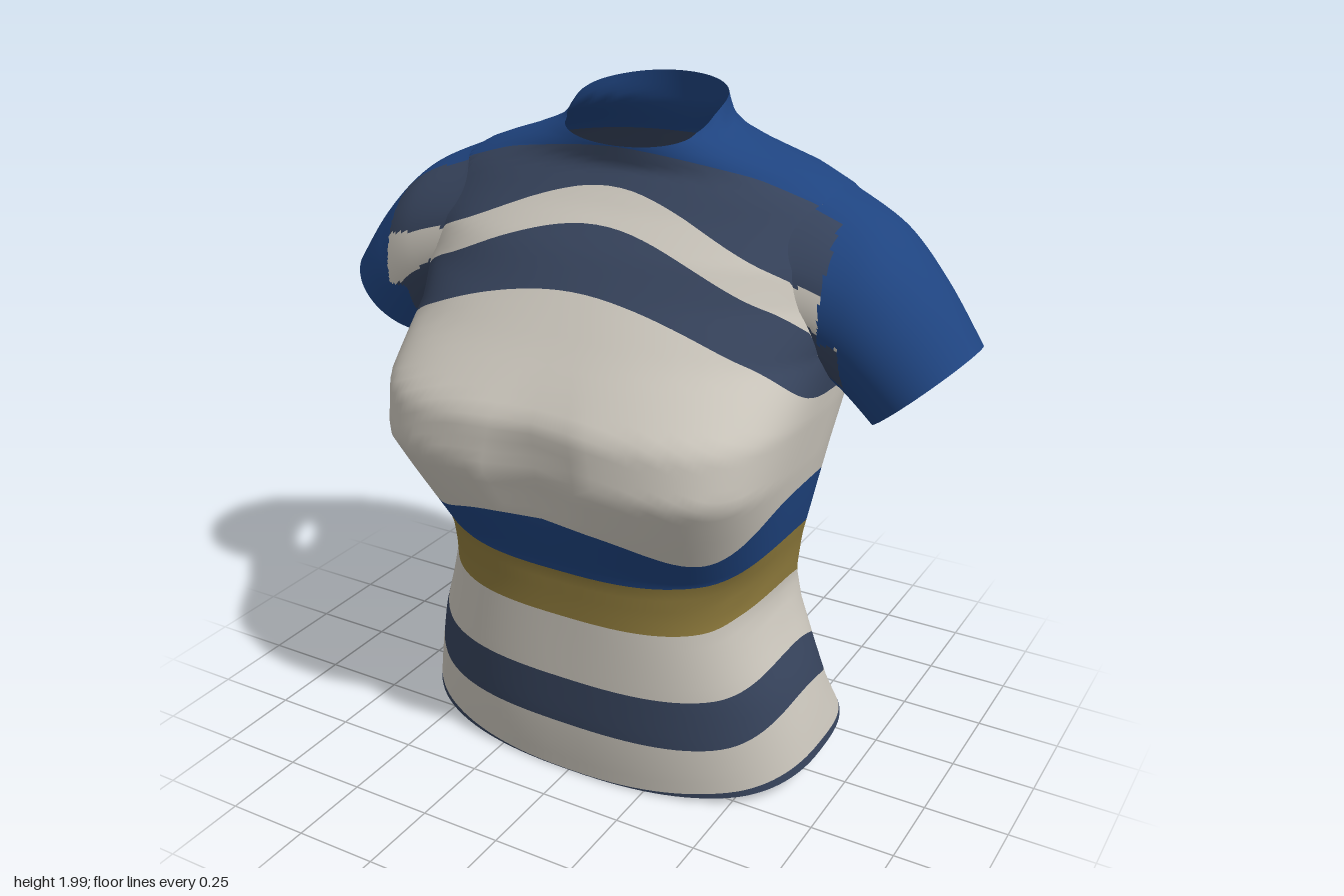
import * as THREE from 'three';

const material = (name, color) => {
  const m = new THREE.MeshStandardMaterial({ color, side: THREE.DoubleSide });
  m.name = name;
  return m;
};
const cream = material('cream', 0xcdc8be);
const blue = material('blue', 0x1f4480);
const slate = material('slate', 0x37445d);
const gold = material('gold', 0x8f7b3c);

// Body profile by height: y, half width, front z, back z, z of widest point, front and back squareness
const PROFILE = [
  [0, 0.67, 0.36, -0.58, -0.02, 2.4, 2.6],
  [0.1, 0.655, 0.375, -0.505, -0.02, 2.4, 2.5],
  [0.2, 0.635, 0.385, -0.445, -0.01, 2.4, 2.4],
  [0.35, 0.6, 0.388, -0.375, 0, 2.5, 2.4],
  [0.5, 0.55, 0.39, -0.35, 0, 2.6, 2.4],
  [0.6, 0.525, 0.392, -0.36, 0, 2.6, 2.4],
  [0.72, 0.535, 0.4, -0.38, 0, 2.7, 2.4],
  [0.9, 0.575, 0.49, -0.42, 0.02, 3.3, 2.4],
  [1.05, 0.605, 0.55, -0.465, 0.02, 4.2, 2.4],
  [1.2, 0.63, 0.54, -0.51, -0.02, 3.6, 2.4],
  [1.37, 0.65, 0.405, -0.545, -0.1, 2.6, 2.4],
  [1.5, 0.7, 0.31, -0.55, -0.14, 2.1, 2.4],
  [1.6, 0.7, 0.235, -0.54, -0.14, 2.1, 2.4],
  [1.7, 0.65, 0.14, -0.5, -0.14, 2.1, 2.3],
  [1.75, 0.61, 0.1, -0.465, -0.14, 2.1, 2.2],
  [1.8, 0.52, 0.065, -0.43, -0.14, 2, 2.1],
  [1.86, 0.345, 0.07, -0.38, -0.13, 2, 2],
  [1.9, 0.255, 0.07, -0.355, -0.13, 2, 2],
  [1.94, 0.23, 0.07, -0.345, -0.13, 2, 2],
  [2, 0.215, 0.07, -0.33, -0.13, 2, 2],
];

// Heights of band edges at front, front quarter, side, back quarter and back,
// each with the colour, name and row count of the band below it
const BANDS = [
  [[1.86, 1.89, 1.96, 1.99, 2.0], blue, 'collarAndYoke', 10],
  [[1.857, 1.81, 1.68, 1.78, 1.8], slate, 'yokeStripe', 8],
  [[1.755, 1.595, 1.46, 1.61, 1.64], cream, 'upperChestStripe', 5],
  [[1.665, 1.51, 1.38, 1.49, 1.49], slate, 'chestStripe', 6],
  [[1.51, 1.385, 1.25, 1.28, 1.28], cream, 'chest', 18],
  [[0.905, 0.825, 0.98, 0.84, 0.74], blue, 'ribStripe', 5],
  [[0.71, 0.73, 0.81, 0.68, 0.58], gold, 'waistStripe', 4],
  [[0.56, 0.57, 0.64, 0.51, 0.43], cream, 'waist', 5],
  [[0.35, 0.36, 0.44, 0.31, 0.24], slate, 'hipStripe', 4],
  [[0.19, 0.2, 0.3, 0.17, 0.11], cream, 'hem', 4],
  [[0.01, 0.048, 0.105, 0.04, 0.018], slate, 'hemSideTrim', 1],
  [[0.008, 0.029, 0.078, 0.039, 0.017], slate, 'hemEdge', 0],
];

// Round armhole on the side of the body, seen from the side
const ARMHOLE = { y: 1.5, z: -0.15, radius: 0.27 };

// Sleeve rings beyond the armhole: top x, top y, bottom x, bottom y, front z, back z
const SLEEVE = [
  [0.74, 1.69, 0.665, 1.215, 0.115, -0.385],
  [0.88, 1.555, 0.7, 1.185, 0.1, -0.34],
  [1.0, 1.39, 0.735, 1.15, 0.08, -0.31],
];

const COLS = 120;

// Smooth curve through values p0..p3 between p1 and p2
const cubic = (p0, p1, p2, p3, t) =>
  p1 + 0.5 * t * (p2 - p0 + t * (2 * p0 - 5 * p1 + 4 * p2 - p3 + t * (3 * (p1 - p2) + p3 - p0)));

function along(values, s) {
  const last = values.length - 1;
  const i = Math.min(Math.floor(s), last - 1);
  return cubic(values[Math.max(i - 1, 0)], values[i], values[i + 1],
    values[Math.min(i + 2, last)], s - i);
}

// Height of a band edge, level where it crosses the middle of front and back
function edgeHeight(edge, angle) {
  const a = angle > Math.PI ? 2 * Math.PI - angle : angle;
  return along([edge[1], ...edge, edge[3]], 1 + a / Math.PI * 4);
}

function profileAt(y) {
  let i = 0;
  while (i < PROFILE.length - 2 && PROFILE[i + 1][0] < y) i++;
  const t = THREE.MathUtils.clamp((y - PROFILE[i][0]) / (PROFILE[i + 1][0] - PROFILE[i][0]), 0, 1);
  return PROFILE[i].map((v, k) => THREE.MathUtils.lerp(v, PROFILE[i + 1][k], t));
}

// Point on the body at a given angle (0 = front, quarter turn = left side) and height
function bodyPoint(angle, y) {
  const [, w, front, back, mid, nf, nb] = profileAt(y);
  const s = Math.sin(angle), c = Math.cos(angle);
  const power = 2 / (c > 0 ? nf : nb);
  const x = w * Math.sign(s) * Math.abs(s) ** power;
  let z = mid + ((c > 0 ? front : back) - mid) * Math.abs(c) ** power;
  // Hollow between the breasts and along the spine
  if (c > 0) z -= 0.045 * Math.exp(-((x / 0.09) ** 2) - ((y - 1.05) / 0.16) ** 2);
  else z += 0.03 * Math.exp(-((x / 0.11) ** 2)) * THREE.MathUtils.clamp((1.85 - y) / 0.3, 0, 1);
  return snapToArmhole([x, y, z]);
}

// Half width of the body at a given height and depth
function bodyX(y, z) {
  const [, w, front, back, mid, nf, nb] = profileAt(y);
  const n = z > mid ? nf : nb;
  const depth = (z - mid) / ((z > mid ? front : back) - mid);
  return w * (1 - Math.min(depth, 1) ** n) ** (1 / n);
}

const armholeDistance = ([x, y, z]) =>
  Math.abs(x) < 0.4 ? Infinity : Math.hypot(y - ARMHOLE.y, z - ARMHOLE.z) / ARMHOLE.radius;

// Move points just inside the armhole onto its rim, so that the opening is round
function snapToArmhole(point) {
  const d = armholeDistance(point);
  if (d > 1 || d < 0.85) return point;
  const y = ARMHOLE.y + (point[1] - ARMHOLE.y) / d;
  const z = ARMHOLE.z + (point[2] - ARMHOLE.z) / d;
  return [Math.sign(point[0]) * bodyX(y, z), y, z];
}

// Skin closed rings as one smooth surface, split into one mesh per named part;
// cells without a part are left open
function loft(rings, flip, partOf) {
  const n = rings[0].length;
  const parts = new Map(), all = [];
  for (let r = 0; r < rings.length - 1; r++) {
    for (let c = 0; c < n; c++) {
      const a = r * n + c, b = r * n + (c + 1) % n, d = a + n, e = b + n;
      const quad = flip ? [a, b, d, b, e, d] : [a, d, b, b, d, e];
      all.push(...quad);
      const part = partOf(r, c);
      if (!part) continue;
      const [name, mat] = part;
      if (!parts.has(name)) parts.set(name, { mat, index: [] });
      parts.get(name).index.push(...quad);
    }
  }
  const whole = new THREE.BufferGeometry();
  whole.setAttribute('position', new THREE.Float32BufferAttribute(rings.flat(2), 3));
  whole.setIndex(all);
  whole.computeVertexNormals();
  const group = new THREE.Group();
  for (const [name, { mat, index }] of parts) {
    const geometry = new THREE.BufferGeometry();
    geometry.setAttribute('position', whole.attributes.position);
    geometry.setAttribute('normal', whole.attributes.normal);
    geometry.setIndex(index);
    const mesh = new THREE.Mesh(geometry, mat);
    mesh.name = name;
    group.add(mesh);
  }
  return group;
}

function makeBody() {
  const rings = [], rowBand = [];
  const addRing = (band, next, t) => {
    rings.push(Array.from({ length: COLS }, (_, i) => {
      const angle = i / COLS * Math.PI * 2;
      return bodyPoint(angle,
        THREE.MathUtils.lerp(edgeHeight(band[0], angle), edgeHeight(next[0], angle), t));
    }));
    rowBand.push(band);
  };
  BANDS.slice(0, -1).forEach((band, k) => {
    for (let j = 0; j < band[3]; j++) addRing(band, BANDS[k + 1], j / band[3]);
  });
  addRing(BANDS.at(-1), BANDS.at(-1), 0);

  const body = loft(rings, false, (r, c) => {
    const next = (c + 1) % COLS;
    const corners = [rings[r][c], rings[r][next], rings[r + 1][c], rings[r + 1][next]];
    const open = corners.every((p) => armholeDistance(p) < 1.001);
    return open ? null : [rowBand[r][2], rowBand[r][1]];
  });
  body.name = 'body';
  return body;
}

function makeSleeve(side) {
  const steps = 60, n = 140;
  // Each line runs from the armhole seam to the cuff
  const lines = Array.from({ length: n }, (_, i) => {
    const u = i / n * Math.PI * 2, t = (1 - Math.cos(u)) / 2;
    const y = ARMHOLE.y + ARMHOLE.radius * Math.cos(u);
    const z = ARMHOLE.z + ARMHOLE.radius * Math.sin(u);
    return [[bodyX(y, z), y, z], ...SLEEVE.map(([tx, ty, bx, by, zf, zb]) => [
      THREE.MathUtils.lerp(tx, bx, t), THREE.MathUtils.lerp(ty, by, t),
      (zf + zb) / 2 + Math.sin(u) * (zf - zb) / 2])];
  });
  const rings = Array.from({ length: steps + 1 }, (_, r) => lines.map((line) =>
    [side, 1, 1].map((sign, k) => sign * along(line.map((p) => p[k]), r / steps * SLEEVE.length))));

  // The chest stripes run on over the front of the sleeve, further on the right one
  const reach = (y) => (side > 0 ? (y < 1.42 ? 0.69 : 0.63) : (y < 1.36 ? 0.72 : 0.785));
  const partOf = (r, c) => {
    const [x, y, z] = rings[r][c];
    const out = Math.abs(x) - 0.6;
    if (Math.abs(x) < reach(y) && z > -0.03) {
      if (y > 1.56 - 0.25 * out) return ['sleeveYokeStripe', slate];
      if (y > 1.47 - 0.7 * out) return ['sleeveChestStripe', cream];
      if (y > 1.32 - 0.4 * out) return ['sleeveLowerStripe', slate];
    }
    return ['sleeveCloth', blue];
  };
  const sleeve = loft(rings, side > 0, partOf);
  sleeve.name = side > 0 ? 'leftSleeve' : 'rightSleeve';
  return sleeve;
}

export function createModel() {
  const shirt = new THREE.Group();
  shirt.name = 'shirt';
  shirt.add(makeBody(), makeSleeve(1), makeSleeve(-1));
  return shirt;
}
